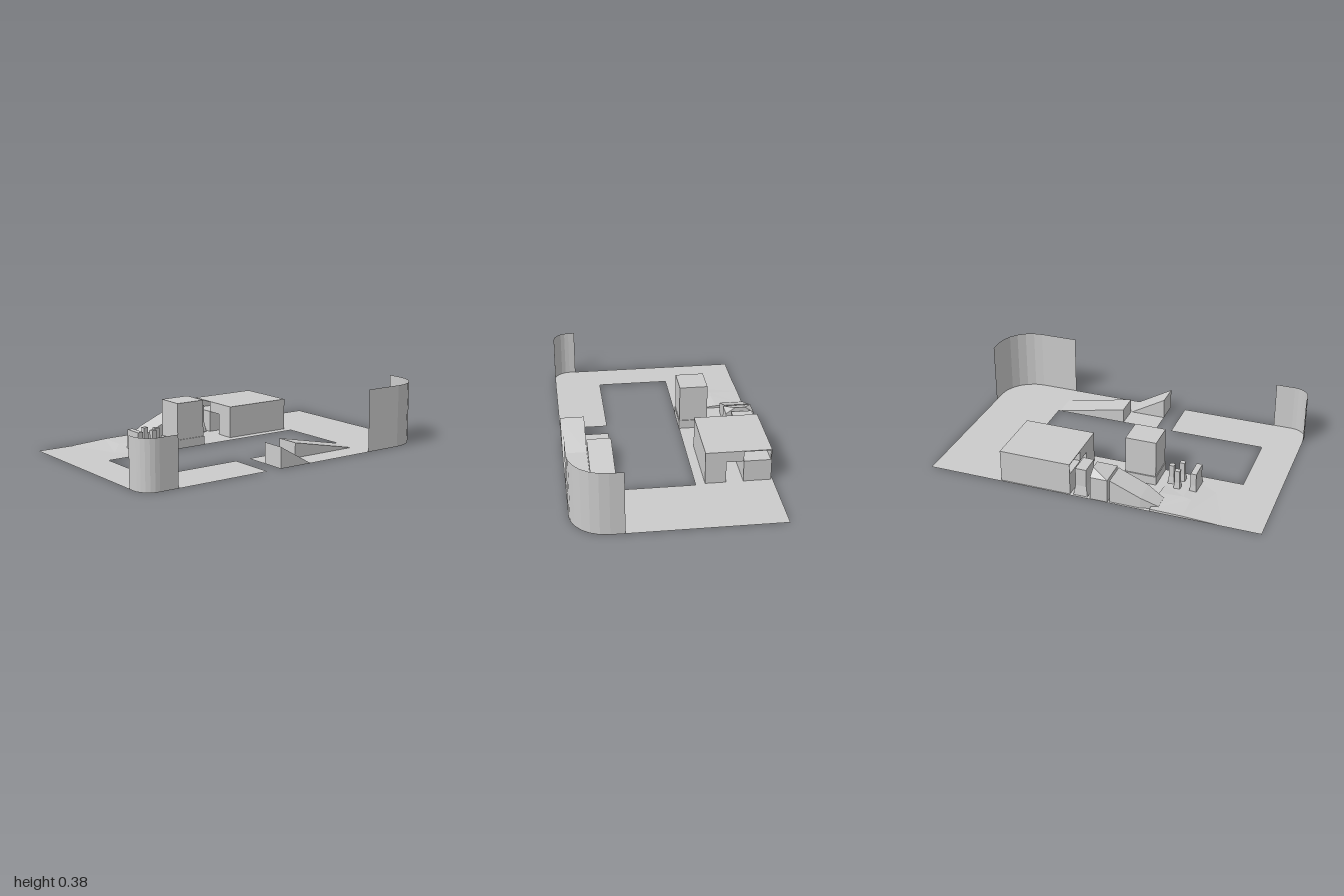
import * as THREE from 'three';

const mat = new THREE.MeshStandardMaterial({ color: 0xcccccc, flatShading: true, side: THREE.DoubleSide });

export function createModel() {
  const model = new THREE.Group();
  const add = (name, geo) => {
    const mesh = new THREE.Mesh(geo, mat);
    mesh.name = name;
    model.add(mesh);
    return mesh;
  };

  // Box given by its extents; the underside is left open unless closed, the top can be inset
  const block = (name, [x0, x1], [y0, y1], [z0, z1], { closed = false, inset = 0 } = {}) => {
    const geo = new THREE.BoxGeometry(x1 - x0 - 0, y1 - y0, z1 - z0);
    if (!closed) {
      const idx = Array.from(geo.index.array);
      idx.splice(18, 6);
      geo.setIndex(idx);
      geo.clearGroups();
    }
    const p = geo.attributes.position;
    for (let i = 0; i < p.count; i++) {
      if (p.getY(i) > 0) {
        p.setX(i, p.getX(i) - Math.sign(p.getX(i)) * inset);
        p.setZ(i, p.getZ(i) - Math.sign(p.getZ(i)) * inset);
      }
    }
    geo.translate((x0 + x1) / 2, (y0 + y1) / 2, (z0 + z1) / 2);
    geo.computeVertexNormals();
    return add(name, geo);
  };

  // Surface from 3D points and polygon faces (each a convex loop)
  const faces = (name, pts, loops) => {
    const pos = [];
    for (const l of loops)
      for (let i = 1; i < l.length - 1; i++) pos.push(...pts[l[0]], ...pts[l[i]], ...pts[l[i + 1]]);
    const geo = new THREE.BufferGeometry();
    geo.setAttribute('position', new THREE.Float32BufferAttribute(pos, 3));
    geo.computeVertexNormals();
    return add(name, geo);
  };

  // Ground: C-shaped plate with two rounded corners, drawn with shape y = -z
  const ground = new THREE.Shape();
  ground.moveTo(-0.59, -1);
  ground.lineTo(0.485, -1);
  ground.absarc(0.485, -0.9, 0.1, -Math.PI / 2, 0, false);
  ground.lineTo(0.585, -0.2);
  ground.lineTo(0.295, -0.2);
  ground.lineTo(0.295, -0.78);
  ground.lineTo(-0.145, -0.78);
  ground.lineTo(-0.145, 0.56);
  ground.lineTo(0.295, 0.56);
  ground.lineTo(0.295, -0.105);
  ground.lineTo(0.585, -0.105);
  ground.lineTo(0.585, 0.79);
  ground.absarc(0.375, 0.79, 0.21, 0, Math.PI / 2, false);
  ground.lineTo(-0.59, 1);
  // Openings below the hollow blocks: x0, x1, z0, z1
  for (const [x0, x1, z0, z1] of [
    [-0.58, -0.42, -0.55, -0.12], [-0.32, -0.2, -0.55, -0.12],
    [-0.575, -0.43, -0.1, -0.015], [-0.58, -0.42, 0.005, 0.105],
  ]) {
    ground.holes.push(new THREE.Path([[x0, -z0], [x1, -z0], [x1, -z1], [x0, -z1]]
      .map(([x, y]) => new THREE.Vector2(x, y))));
  }
  add('ground', new THREE.ShapeGeometry(ground, 6).rotateX(-Math.PI / 2));

  // Curved corner walls standing on the rounded corners (s = -1 back, +1 front)
  const cornerWall = (name, s, r, xEnd, zEnd, h) => {
    const line = [[xEnd, s]];
    for (let i = 0; i <= 6; i++) {
      const a = (Math.PI / 2) * (1 - i / 6);
      line.push([0.585 - r + r * Math.cos(a), s * (1 - r + r * Math.sin(a))]);
    }
    line.push([0.585, zEnd]);
    const pts = line.flatMap(([x, z]) => [[x, 0, z], [x, h, z]]);
    const loops = line.slice(1).map((_, i) => [2 * i, 2 * i + 2, 2 * i + 3, 2 * i + 1]);
    faces(name, pts, loops);
  };
  cornerWall('backCornerWall', -1, 0.21, 0.295, -0.555, 0.375);
  cornerWall('frontCornerWall', 1, 0.1, 0.445, 0.785, 0.288);

  // Two ramps rising towards the front
  const ramp = (name, x0, x1, z0, z1, h) => faces(name,
    [[x0, 0, z0], [x1, 0, z0], [x0, 0, z1], [x1, 0, z1], [x0, h, z1], [x1, h, z1]],
    [[0, 4, 5, 1], [2, 3, 5, 4], [0, 2, 4], [1, 5, 3]]);
  ramp('longRamp', 0.295, 0.44, -0.55, -0.117, 0.09);
  ramp('shortRamp', 0.44, 0.585, -0.11, 0.105, 0.125);

  // Large hall with a passage through it and a slot above the left block
  const hallZ = [-0.55, -0.12];
  block('hallRightLeg', [-0.32, -0.2], [0, 0.195], hallZ);
  block('hallBridge', [-0.42, -0.32], [0.13, 0.195], hallZ, { closed: true });
  block('hallLeftBlock', [-0.58, -0.42], [0, 0.13], hallZ);
  block('hallOuterWall', [-0.58, -0.574], [0.13, 0.195], hallZ, { closed: true });
  block('hallRoof', [-0.574, -0.42], [0.19, 0.195], hallZ, { closed: true });

  // Upright with a flared foot
  const upright = (name, x, z, w, d, foot, h, flare) => {
    block(name + 'Foot', [x - w / 2, x + w / 2], [0, foot], [z - d / 2, z + d / 2], { inset: flare });
    block(name, [x - w / 2 + flare, x + w / 2 - flare], [foot, h], [z - d / 2 + flare, z + d / 2 - flare]);
  };
  upright('laneCabinet', -0.503, -0.058, 0.145, 0.085, 0.06, 0.17, 0.01);
  upright('panel', -0.262, 0.531, 0.13, 0.044, 0.045, 0.12, 0.005);
  for (const [x, z] of [[-0.31, 0.435], [-0.215, 0.435], [-0.262, 0.386]])
    upright('post', x, z, 0.04, 0.04, 0.045, 0.12, 0.005);

  // Tall tower on a slightly wider plinth
  block('towerPlinth', [-0.325, -0.143], [0, 0.053], [0.115, 0.31]);
  block('tower', [-0.318, -0.148], [0.053, 0.275], [0.12, 0.305]);

  // Lane cabin with a hipped roof rising to the back
  block('cabin', [-0.585, -0.415], [0, 0.142], [0.005, 0.108]);
  faces('cabinRoof',
    [[-0.585, 0.142, 0.108], [-0.415, 0.142, 0.108], [-0.415, 0.142, 0.005],
      [-0.585, 0.142, 0.005], [-0.53, 0.18, 0.005], [-0.47, 0.18, 0.005]],
    [[0, 1, 5, 4], [1, 2, 5], [0, 4, 3], [2, 3, 4, 5]]);

  // Sloping chute: cross-sections of half width, height and z, narrowing to the front
  const sections = [[0.075, 0.14, 0.12], [0.073, 0.065, 0.3], [0.048, 0.016, 0.4]];
  const pts = sections.flatMap(([w, y, z]) =>
    [[-0.503 - w, 0, z], [-0.503 - w, y, z], [-0.503 + w, y, z], [-0.503 + w, 0, z]]);
  const loops = [[0, 1, 2, 3], [8, 11, 10, 9]];
  for (let s = 0; s < 8; s += 4)
    for (let i = 0; i < 3; i++) loops.push([s + i, s + 4 + i, s + 5 + i, s + 1 + i]);
  faces('chute', pts, loops);

  // Low mound at the foot of the chute
  faces('mound',
    [[-0.59, 0.015, 0.36], [-0.415, 0.015, 0.36], [-0.405, 0.015, 0.5], [-0.42, 0.013, 0.55],
      [-0.59, 0.013, 0.55], [-0.59, 0.001, 0.78], [-0.285, 0.001, 0.66], [-0.19, 0.001, 0.5],
      [-0.3, 0.001, 0.36], [-0.59, 0, 0.36]],
    [[0, 4, 3, 2, 1], [4, 5, 6, 3], [3, 6, 7, 2], [2, 7, 8, 1], [0, 1, 8, 9], [0, 9, 5, 4]]);

  return model;
}
